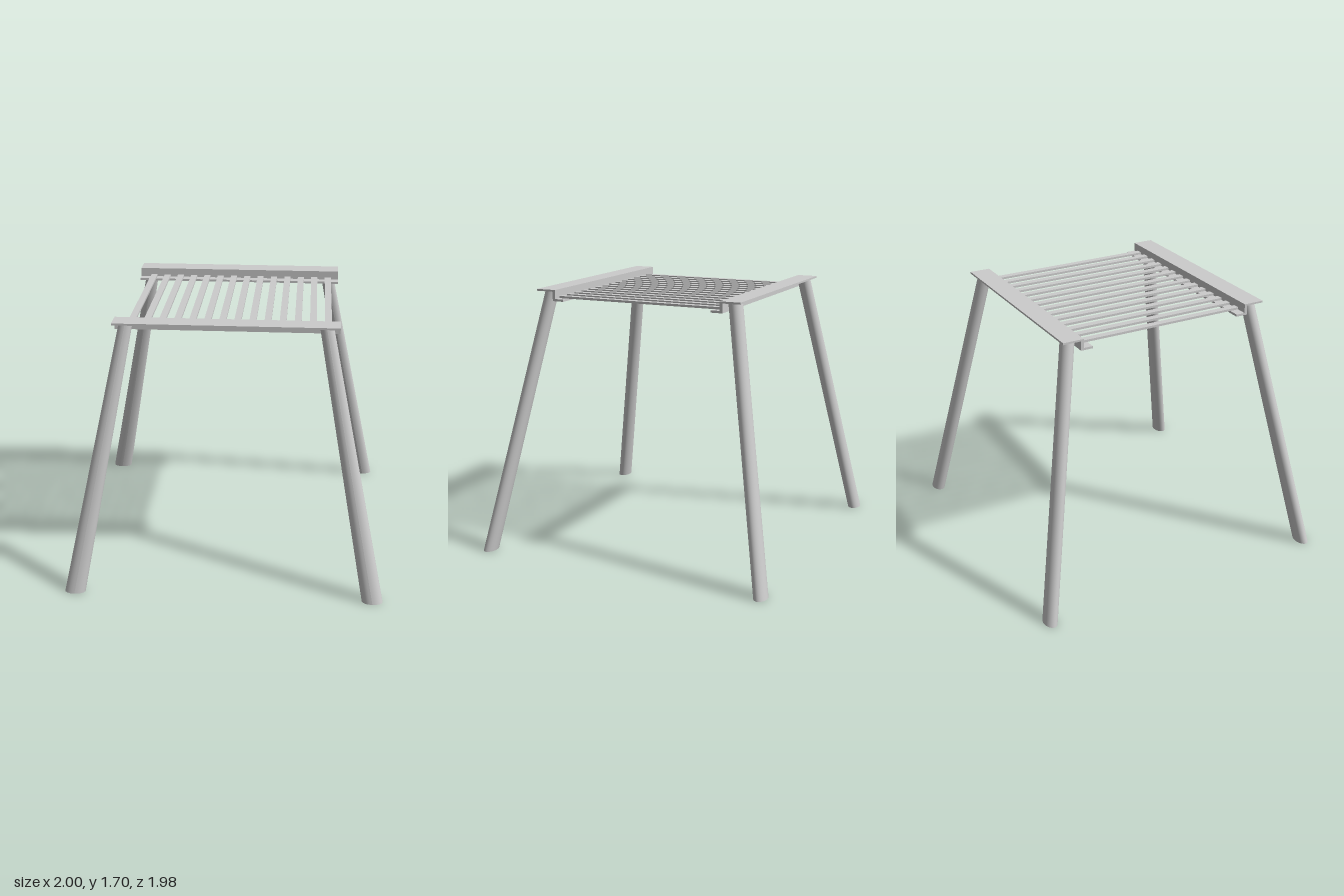
import * as THREE from 'three';

const material = new THREE.MeshStandardMaterial({ color: 0xcccccc });

function box(name, x0, x1, y0, y1, z0, z1) {
  const mesh = new THREE.Mesh(new THREE.BoxGeometry(x1 - x0, y1 - y0, z1 - z0), material);
  mesh.position.set((x0 + x1) / 2, (y0 + y1) / 2, (z0 + z1) / 2);
  mesh.name = name;
  return mesh;
}

// Splayed leg: level ends, wide oval foot blending to a round top
function leg(sx, sz) {
  const height = 1.685;
  const geometry = new THREE.CylinderGeometry(1, 1, height, 32, 1);
  geometry.translate(0, height / 2, 0);
  const p = geometry.attributes.position;
  const mix = THREE.MathUtils.lerp;
  for (let i = 0; i < p.count; i++) {
    const t = p.getY(i) / height;
    p.setX(i, sx * mix(0.935, 0.604, t) + p.getX(i) * mix(0.065, 0.042, t));
    p.setZ(i, sz * mix(0.948, 0.63, t) + p.getZ(i) * mix(0.041, 0.044, t));
  }
  geometry.computeVertexNormals();
  const mesh = new THREE.Mesh(geometry, material);
  mesh.name = (sz > 0 ? 'front' : 'back') + (sx > 0 ? 'Left' : 'Right') + 'Leg';
  return mesh;
}

// Z-section rail: top plate over the legs, web, and lower flange holding the slats
function rail(sz) {
  const shape = new THREE.Shape([
    [0.695, 1.697], [0.562, 1.697], [0.562, 1.64], [0.504, 1.64],
    [0.504, 1.626], [0.58, 1.626], [0.58, 1.685], [0.695, 1.685],
  ].map(([z, y]) => new THREE.Vector2(-z, y)));
  const geometry = new THREE.ExtrudeGeometry(shape, { depth: 1.368, bevelEnabled: false });
  geometry.translate(0, 0, -0.684);
  geometry.rotateY(sz > 0 ? Math.PI / 2 : -Math.PI / 2);
  const mesh = new THREE.Mesh(geometry, material);
  mesh.position.x = 0.002;
  mesh.name = sz > 0 ? 'frontRail' : 'backRail';
  return mesh;
}

export function createModel() {
  const model = new THREE.Group();
  model.name = 'slattedStand';

  for (const sz of [1, -1]) {
    model.add(rail(sz));
    for (const sx of [1, -1]) model.add(leg(sx, sz));
  }

  // Row of flat slats resting on the lower flanges
  const slats = new THREE.Group();
  slats.name = 'slats';
  const count = 14;
  for (let i = 0; i < count; i++) {
    const x = -0.591 + i * 0.0928;
    slats.add(box('slat', x - 0.021, x + 0.021, 1.64, 1.654, -0.562, 0.562));
  }
  model.add(slats);
  return model;
}
